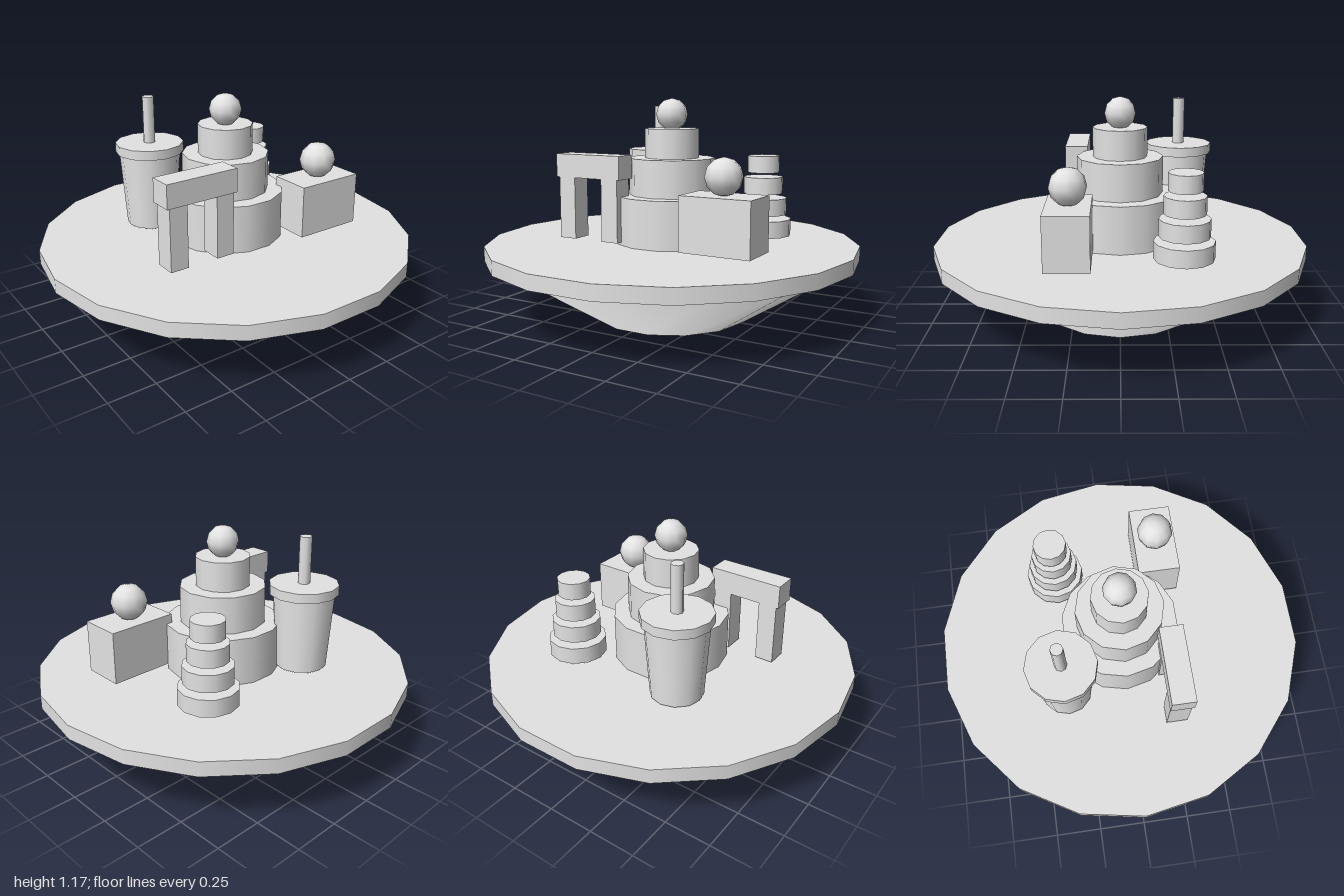
import * as THREE from 'three';

export function createModel() {
  const model = new THREE.Group();
  model.name = 'floatingIsland';
  const stone = new THREE.MeshStandardMaterial({ color: 0xe3e3e3 });
  stone.name = 'pale grey';

  function add(parent, name, geometry, x, y, z) {
    const mesh = new THREE.Mesh(geometry, stone);
    mesh.name = name;
    mesh.position.set(x, y, z);
    parent.add(mesh);
    return mesh;
  }

  // Upright drum from y0 to y1, with a corner on the x axis and level side normals
  function drum(parent, name, rTop, rBottom, y0, y1, sides, x = 0, z = 0) {
    const geometry = new THREE.CylinderGeometry(rTop, rBottom, y1 - y0, sides, 1, false, Math.PI / 2);
    const normal = geometry.attributes.normal;
    for (let i = 0; i < 2 * (sides + 1); i++) {
      const length = Math.hypot(normal.getX(i), normal.getZ(i));
      normal.setXYZ(i, normal.getX(i) / length, 0, normal.getZ(i) / length);
    }
    return add(parent, name, geometry, x, (y0 + y1) / 2, z);
  }

  // Box given by its limits
  function block(parent, name, x0, x1, y0, y1, z0, z1) {
    return add(parent, name, new THREE.BoxGeometry(x1 - x0, y1 - y0, z1 - z0),
      (x0 + x1) / 2, (y0 + y1) / 2, (z0 + z1) / 2);
  }

  function ball(parent, name, r, x, y, z) {
    return add(parent, name, new THREE.SphereGeometry(r, 10, 6), x, y, z);
  }

  function section(name) {
    const group = new THREE.Group();
    group.name = name;
    model.add(group);
    return group;
  }

  // Island: tapered underside and flat deck
  const island = section('island');
  drum(island, 'underside', 0.94, 0.42, 0, 0.328, 14);
  drum(island, 'deck', 1, 1, 0.328, 0.405, 18);

  // Central stepped tower
  const tower = section('tower');
  [[0.31, 0.405, 0.66, 14], [0.23, 0.66, 0.857, 12], [0.145, 0.857, 1.013, 12]].forEach(([r, y0, y1, sides], i) =>
    drum(tower, `towerTier${i + 1}`, r, r, y0, y1, sides));
  ball(tower, 'towerBall', 0.085, 0, 1.087, 0);

  // Arch with two legs
  const arch = section('arch');
  block(arch, 'archBeam', -0.545, -0.143, 0.752, 0.877, 0.178, 0.302);
  for (const x of [-0.48, -0.21]) {
    block(arch, 'archLeg', x - 0.05, x + 0.05, 0.42, 0.752, 0.183, 0.297);
  }

  // Box with a ball on top
  const plinth = section('plinth');
  block(plinth, 'plinthBox', 0.24, 0.62, 0.428, 0.708, 0.14, 0.365);
  ball(plinth, 'plinthBall', 0.096, 0.43, 0.798, 0.252);

  // Cup with lid and straw
  const cup = section('cup');
  drum(cup, 'cupBody', 0.165, 0.138, 0.42, 0.827, 12, -0.27, -0.33);
  drum(cup, 'cupLid', 0.184, 0.184, 0.827, 0.878, 12, -0.27, -0.33);
  drum(cup, 'straw', 0.032, 0.032, 0.878, 1.128, 8, -0.27, -0.33);

  // Stack of shrinking discs
  const stack = section('stack');
  [0.155, 0.13, 0.107, 0.087].forEach((r, i) => {
    const y = 0.424 + i * 0.1155;
    drum(stack, `stackDisc${i + 1}`, r, r, y, y + 0.091, 12, 0.4, -0.316);
  });

  return model;
}
